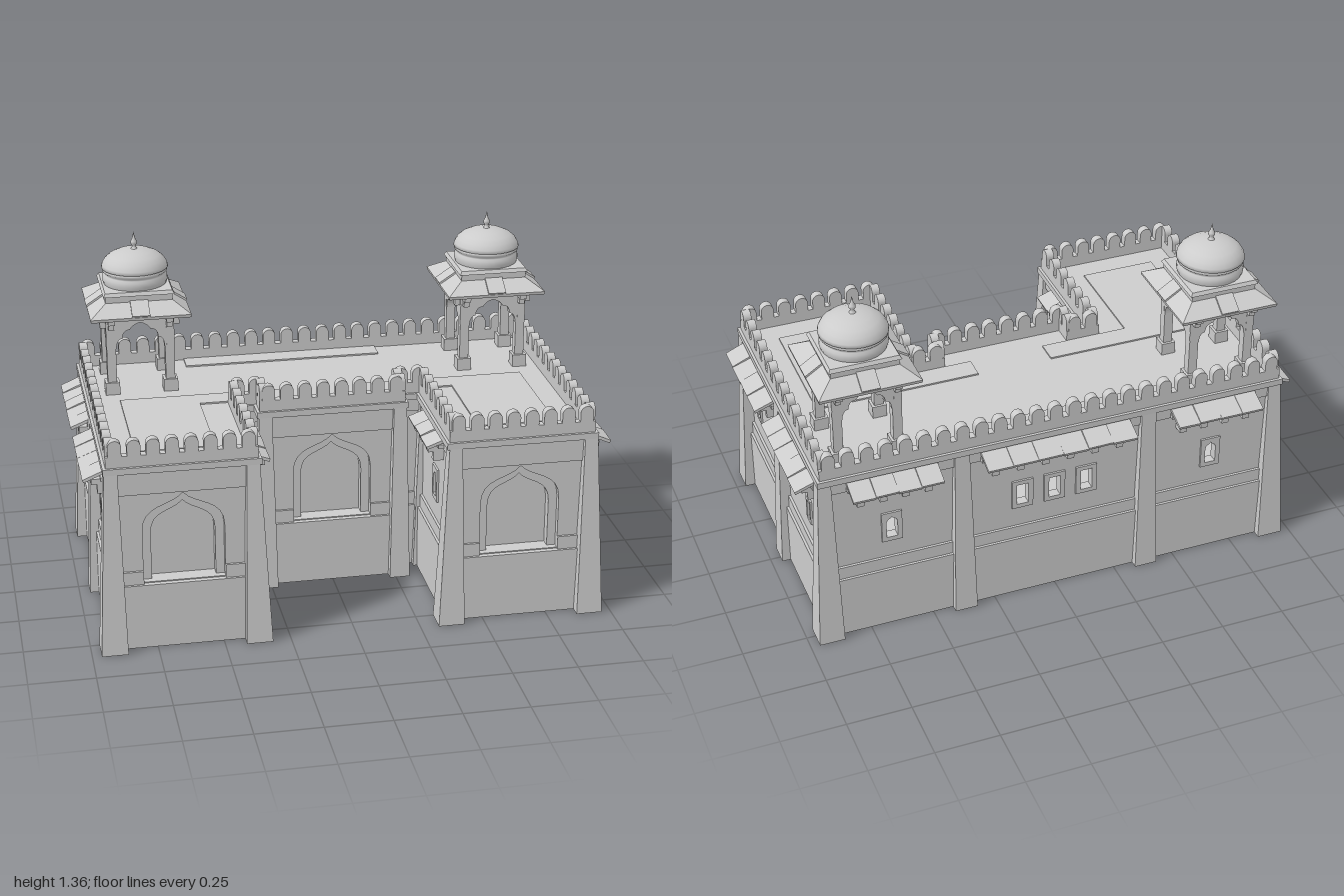
import * as THREE from 'three';

const stone = new THREE.MeshStandardMaterial({ color: 0xcccccc, side: THREE.DoubleSide });
stone.name = 'grey stone';

function add(parent, name, geo, x = 0, y = 0, z = 0) {
  const m = new THREE.Mesh(geo, stone);
  m.name = name;
  m.position.set(x, y, z);
  parent.add(m);
  return m;
}
const box = (w, h, d) => new THREE.BoxGeometry(w, h, d);
const extrude = (shape, depth) =>
  new THREE.ExtrudeGeometry(shape, { depth, bevelEnabled: false, curveSegments: 8 });

// Square frustum, half widths given, standing on y = 0
function frustum(bottom, top, h, open = false) {
  const g = new THREE.CylinderGeometry(top * Math.SQRT2, bottom * Math.SQRT2, h, 4, 1, open)
    .rotateY(Math.PI / 4).translate(0, h / 2, 0).toNonIndexed();
  g.computeVertexNormals();
  return g;
}

function rectPath(P, x0, x1, y0, y1) {
  return new P([[x0, y0], [x1, y0], [x1, y1], [x0, y1]].map(p => new THREE.Vector2(...p)));
}
// Pointed arch outline: straight jambs, then an ogee curve to the peak
function archPath(u, half, y0, spring, peak) {
  const p = new THREE.Path(), d = peak - spring;
  p.moveTo(u - half, y0);
  p.lineTo(u + half, y0);
  p.lineTo(u + half, spring);
  p.bezierCurveTo(u + half, spring + d * 0.75, u + half * 0.3, spring + d * 0.62, u, peak);
  p.bezierCurveTo(u - half * 0.3, spring + d * 0.62, u - half, spring + d * 0.75, u - half, spring);
  p.closePath();
  return p;
}

// Scalloped parapet outline
function parapetShape(L) {
  const s = new THREE.Shape(), n = Math.max(1, Math.round(L / 0.074)), step = L / n, r = 0.025;
  s.moveTo(-L / 2, 0.73);
  s.lineTo(-L / 2, 0.782);
  for (let i = 0; i < n; i++) {
    const c = -L / 2 + (i + 0.5) * step;
    s.lineTo(c - r, 0.782);
    s.lineTo(c - r, 0.818);
    s.absarc(c, 0.818, r, Math.PI, 0, true);
    s.lineTo(c + r, 0.782);
  }
  s.lineTo(L / 2, 0.782);
  s.lineTo(L / 2, 0.73);
  return s;
}

// Row of sloping eave slabs on brackets
function eave(g, u0, u1, depth) {
  const len = u1 - u0, n = Math.round(len / 0.095), step = len / n;
  add(g, 'eaveBeam', box(len, 0.016, 0.03), (u0 + u1) / 2, 0.672, 0.015);
  for (let i = 0; i < n; i++) {
    const u = u0 + (i + 0.5) * step, wobble = Math.sin(i * 2.7 + u0 * 9);
    const slab = add(g, 'eaveSlab', box(step * 0.99, 0.012, depth * 1.08), u, 0.687 + wobble * 0.003, depth / 2);
    slab.rotation.set(0.38 + wobble * 0.03, 0, wobble * 0.02);
    add(g, 'bracketCap', box(0.034, 0.022, 0.062), u, 0.65, 0.031);
    add(g, 'bracket', box(0.028, 0.042, 0.04), u, 0.622, 0.02);
  }
}

// One wall run from a to b; local x runs along it, local z points outward
function wall(parent, a, b, { niche = false, windows = [], eaves = [], eaveDepth = 0.095 }) {
  const dx = b[0] - a[0], dz = b[1] - a[1], L = Math.hypot(dx, dz);
  const g = new THREE.Group();
  g.name = 'wall';
  g.position.set((a[0] + b[0]) / 2, 0, (a[1] + b[1]) / 2);
  g.rotation.y = Math.atan2(-dz, dx);
  parent.add(g);

  const panel = rectPath(THREE.Shape, -L / 2, L / 2, 0.25, 0.725);
  if (niche) {
    panel.holes.push(archPath(0, 0.153, 0.262, 0.47, 0.615));
    const inner = rectPath(THREE.Shape, -0.17, 0.17, 0.25, 0.64);
    inner.holes.push(archPath(0, 0.12, 0.262, 0.45, 0.575));
    add(g, 'nicheSurround', extrude(inner, 0.04), 0, 0, -0.065);
    add(g, 'nicheBack', box(0.34, 0.39, 0.01), 0, 0.445, -0.068);
  }
  for (const [u, w, h, y, arched] of windows) {
    const hw = w * 0.27, y0 = y - h * 0.36, y1 = y + h * 0.36;
    const hole = () => arched ? archPath(u, hw, y0, y + h * 0.12, y1)
      : rectPath(THREE.Path, u - hw, u + hw, y0, y1);
    panel.holes.push(hole());
    const frame = rectPath(THREE.Shape, u - w / 2, u + w / 2, y - h / 2, y + h / 2);
    frame.holes.push(hole());
    add(g, 'windowFrame', extrude(frame, 0.008));
  }
  add(g, 'wallPanel', extrude(panel, 0.03), 0, 0, -0.03);

  // Thin plinth skirt with a ledge on top
  add(g, 'plinth', box(L, 0.258, 0.004), 0, 0.129, 0.018);
  add(g, 'plinthLedge', box(L, 0.006, 0.03), 0, 0.255, 0.005);

  // String course, broken by the niche
  const runs = niche ? [[-L / 2, -0.153], [0.153, L / 2]] : [[-L / 2, L / 2]];
  for (const [p, q] of runs) add(g, 'stringCourse', box(q - p, 0.056, 0.02), (p + q) / 2, 0.282, 0);
  const f = niche ? 0.622 : 0.66;
  add(g, 'frieze', box(L, 0.722 - f, 0.02), 0, (0.722 + f) / 2, 0);
  add(g, 'cornice', box(L + 0.054, 0.025, 0.05), 0, 0.7255, 0.002);
  add(g, 'parapet', extrude(parapetShape(L + 0.032), 0.032), 0, 0, -0.016);
  for (const [p, q] of eaves) eave(g, p, q, eaveDepth);
}

// Tapering buttress leaning back toward the wall; (ox, oz) points outward
function buttress(parent, x, z, ox, oz, half = 0.05) {
  const h = 0.715, taper = ox && oz ? 0.5 : 0.64;
  const g = frustum(half, half * taper, h, true), p = g.attributes.position;
  for (let i = 0; i < p.count; i++) {
    const k = 0.01 - 0.011 * p.getY(i) / h;
    p.setXYZ(i, p.getX(i) + ox * k, p.getY(i), p.getZ(i) + oz * k);
  }
  g.computeVertexNormals();
  add(parent, 'buttress', g, x, 0, z);
}

// Horizontal slab from a plan outline
function slab(parent, name, pts, y, h) {
  const s = new THREE.Shape(pts.map(([x, z]) => new THREE.Vector2(x, -z)));
  add(parent, name, extrude(s, h).rotateX(-Math.PI / 2), 0, y, 0);
}

// Cusped arch panel between pavilion columns
function cuspedPanel() {
  const s = new THREE.Shape();
  s.moveTo(-0.133, 1.1);
  s.lineTo(-0.133, 0.925);
  s.lineTo(-0.094, 0.925);
  s.quadraticCurveTo(-0.092, 0.965, -0.07, 0.965);
  s.quadraticCurveTo(-0.068, 1.0, -0.04, 1.0);
  s.quadraticCurveTo(-0.03, 1.02, 0, 1.028);
  s.quadraticCurveTo(0.03, 1.02, 0.04, 1.0);
  s.quadraticCurveTo(0.068, 1.0, 0.07, 0.965);
  s.quadraticCurveTo(0.092, 0.965, 0.094, 0.925);
  s.lineTo(0.133, 0.925);
  s.lineTo(0.133, 1.1);
  return extrude(s, 0.03);
}

function pavilion(parent, x, z) {
  const g = new THREE.Group();
  g.name = 'roofPavilion';
  g.position.set(x, 0, z);
  parent.add(g);
  for (const sx of [-1, 1]) for (const sz of [-1, 1]) {
    add(g, 'columnBase', box(0.056, 0.055, 0.056), sx * 0.114, 0.76, sz * 0.114);
    add(g, 'column', box(0.036, 0.25, 0.036), sx * 0.114, 0.86, sz * 0.114);
  }
  for (let i = 0; i < 4; i++) {
    const side = new THREE.Group();
    side.name = 'pavilionSide';
    side.rotation.y = i * Math.PI / 2;
    g.add(side);
    add(side, 'cuspedArch', cuspedPanel(), 0, 0, 0.102);
    for (const s of [-1, 1]) {
      add(side, 'eaveBracket', box(0.026, 0.03, 0.045), s * 0.113, 1.05, 0.15);
      add(side, 'lowerBracket', box(0.022, 0.03, 0.025), s * 0.113, 1.025, 0.142);
    }
    const tile = add(side, 'eaveTile', box(0.07, 0.008, 0.078), 0, 1.095, 0.163);
    tile.rotation.x = 0.58;
  }
  add(g, 'eaveSkirt', frustum(0.195, 0.128, 0.044, true), 0, 1.07, 0);
  add(g, 'eaveEdge', frustum(0.193, 0.195, 0.012, true), 0, 1.058, 0);
  add(g, 'eaveSoffit', frustum(0.193, 0.128, 0.04, true), 0, 1.058, 0);
  add(g, 'domeBase', frustum(0.13, 0.13, 0.06), 0, 1.085, 0);
  add(g, 'domeBaseCap', frustum(0.138, 0.13, 0.014), 0, 1.138, 0);

  // Ribbed drum, dome and finial turned as profiles
  const lathe = pts => new THREE.LatheGeometry(pts.map(p => new THREE.Vector2(...p)), 28);
  add(g, 'drum', lathe([[0.122, 1.15], [0.127, 1.165], [0.126, 1.182], [0.119, 1.19],
    [0.119, 1.196], [0.127, 1.203], [0.127, 1.211], [0.121, 1.217]]));
  add(g, 'dome', lathe([[0.12, 1.212], [0.13, 1.215], [0.127, 1.228], [0.116, 1.247],
    [0.096, 1.264], [0.065, 1.278], [0.03, 1.285], [0, 1.287]]));
  add(g, 'finial', lathe([[0.014, 1.284], [0.008, 1.293], [0.007, 1.3], [0.013, 1.308],
    [0.012, 1.316], [0.006, 1.328], [0, 1.355]]));
}

export function createModel() {
  const root = new THREE.Group();
  root.name = 'gatehouse';

  // Plan outline, starting at the front of the right wing
  const plan = [[-0.905, 0.53], [-0.375, 0.53], [-0.375, 0.02], [-0.27, 0.02], [-0.27, 0.1], [0.27, 0.1],
    [0.27, 0.02], [0.375, 0.02], [0.375, 0.53], [0.905, 0.53], [0.905, -0.505], [-0.905, -0.505]];
  const slit = u => [u, 0.055, 0.108, 0.452, false];
  const front = { niche: true };
  const inner = s => ({ windows: [[s * -0.01, 0.075, 0.135, 0.46, true]], eaves: [[-0.155, 0.155]], eaveDepth: 0.075 });
  const outer = s => ({
    windows: [-0.37, -0.145, 0.32].map(u => slit(s * u)),
    eaves: s > 0 ? [[-0.48, -0.06], [0.03, 0.48]] : [[-0.48, -0.03], [0.06, 0.48]],
  });
  const back = {
    windows: [[-0.65, 0.08, 0.13, 0.45, true], [0.65, 0.08, 0.13, 0.45, true],
      ...[-0.13, 0, 0.13].map(u => [u, 0.085, 0.125, 0.46, false])],
    eaves: [[-0.82, -0.47], [-0.3, 0.3], [0.47, 0.82]],
  };
  const specs = [front, inner(1), {}, {}, front, {}, {}, inner(-1), front, outer(1), back, outer(-1)];
  plan.forEach((a, i) => wall(root, a, plan[(i + 1) % plan.length], specs[i]));

  slab(root, 'floor', plan, 0.25, 0.008);
  slab(root, 'roof', plan, 0.715, 0.023);
  slab(root, 'roofStepBack', [[-0.5, -0.49], [0.29, -0.49], [0.29, -0.405], [-0.5, -0.405]], 0.73, 0.014);

  for (const s of [-1, 1]) {
    // Buttresses
    buttress(root, s * 0.905, 0.535, s, 1);
    buttress(root, s * 0.905, -0.498, s, -1);
    buttress(root, s * 0.905, 0.016, s, 0, 0.044);
    buttress(root, s * 0.38, 0.535, -s, 1);
    buttress(root, s * 0.375, -0.5, 0, -1, 0.045);
    buttress(root, s * 0.385, 0.03, -s, 0, 0.036);
    buttress(root, s * 0.265, 0.105, 0, 1, 0.04);
    // Low step on the roof of each wing
    slab(root, 'roofStep', [[0.8, 0.42], [0.5, 0.42], [0.5, 0.0], [0.15, 0.0], [0.15, -0.09], [0.8, -0.09]]
      .map(([x, z]) => [s * x, z]), 0.73, 0.014);
    pavilion(root, s * 0.705, -0.305);
  }
  return root;
}
